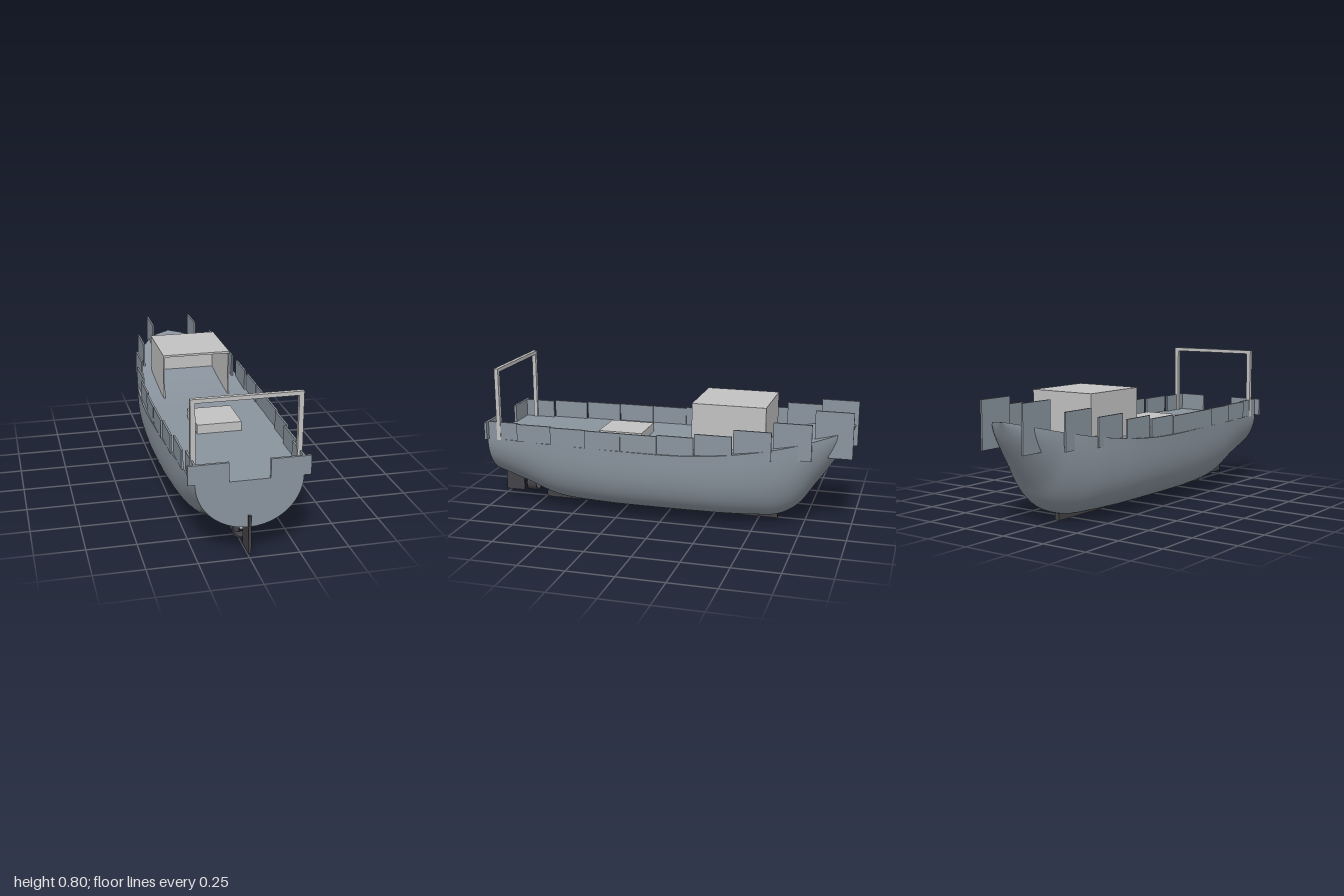
import * as THREE from 'three';

const hullGrey = new THREE.MeshStandardMaterial({ color: 0x8a949e, side: THREE.DoubleSide });
hullGrey.name = 'hull blue grey';
const lightGrey = new THREE.MeshStandardMaterial({ color: 0xc2c2c2 });
lightGrey.name = 'superstructure light grey';
const darkGrey = new THREE.MeshStandardMaterial({ color: 0x434347 });
darkGrey.name = 'running gear dark grey';

// Stations from stern to bow: z, half beam, keel height, section fullness
const STATIONS = [
  [0.985, 0.262, 0.157, 2], [0.8, 0.276, 0.098, 2.2], [0.6, 0.295, 0.04, 2.5],
  [0.3, 0.312, 0.033, 2.9], [0, 0.32, 0.033, 2.9], [-0.3, 0.31, 0.033, 2.9],
  [-0.5, 0.285, 0.034, 2.7], [-0.62, 0.26, 0.044, 2.5], [-0.72, 0.232, 0.105, 2.3],
  [-0.8, 0.2, 0.215, 2.1], [-0.88, 0.16, 0.33, 2], [-0.95, 0.106, 0.44, 2],
  [-1, 0.004, 0.546, 2],
];
const lines = new THREE.CatmullRomCurve3(
  STATIONS.map(([z, b, k]) => new THREE.Vector3(b, k, z)), false, 'catmullrom', 0.5);

const rise = (z) => (z < 0 ? 0.15 * z * z : 0);
const sheer = (z) => 0.4 + rise(z);

function fullness(u) {
  const t = u * (STATIONS.length - 1);
  const i = Math.min(Math.floor(t), STATIONS.length - 2);
  return THREE.MathUtils.lerp(STATIONS[i][3], STATIONS[i + 1][3], t - i);
}

// Point on the shell: u runs stern to bow, v from one sheer round the keel to the other
function hullPoint(u, v) {
  const p = lines.getPoint(u);
  const e = 2 / fullness(u);
  const a = (v - 0.5) * Math.PI;
  const s = Math.sin(a), c = Math.max(Math.cos(a), 0);
  const top = sheer(p.z);
  return [p.x * Math.sign(s) * Math.abs(s) ** e, top - (top - p.y) * c ** e, p.z];
}

// Grid surface from a rule giving a point for each (u, v)
function surface(nu, nv, rule) {
  const positions = [], index = [];
  for (let i = 0; i <= nu; i++) {
    for (let j = 0; j <= nv; j++) positions.push(...rule(i / nu, j / nv));
  }
  for (let i = 0; i < nu; i++) {
    for (let j = 0; j < nv; j++) {
      const a = i * (nv + 1) + j, b = a + nv + 1;
      index.push(a, a + 1, b, b, a + 1, b + 1);
    }
  }
  const g = new THREE.BufferGeometry();
  g.setAttribute('position', new THREE.Float32BufferAttribute(positions, 3));
  g.setIndex(index);
  g.computeVertexNormals();
  return g;
}

export function createModel() {
  const model = new THREE.Group();
  model.name = 'workboat';

  const add = (name, geometry, material, parent = model) => {
    const mesh = new THREE.Mesh(geometry, material);
    mesh.name = name;
    parent.add(mesh);
    return mesh;
  };
  // Box given by its limits on each axis
  const box = (name, material, [x0, x1], [y0, y1], [z0, z1], parent) => {
    const m = add(name, new THREE.BoxGeometry(x1 - x0, y1 - y0, z1 - z0), material, parent);
    m.position.set((x0 + x1) / 2, (y0 + y1) / 2, (z0 + z1) / 2);
    return m;
  };
  const group = (name) => {
    const g = new THREE.Group();
    g.name = name;
    model.add(g);
    return g;
  };

  // Hull shell, deck and flat transom
  add('hullShell', surface(72, 48, hullPoint), hullGrey);
  add('deck', surface(72, 2, (u, v) => {
    const p = lines.getPoint(u);
    return [p.x * (1 - 2 * v), sheer(p.z), p.z];
  }), hullGrey);
  add('transom', surface(1, 48, (u, v) => {
    const [x, y, z] = hullPoint(0, v);
    return [x * (1 - u), y + (0.4 - y) * (1 - (1 - u)), z];
  }), hullGrey);

  // Stepped bulwark plates, bow to stern, with their offset from the centreline
  const bulwarks = group('bulwarks');
  const offsets = [0.13, 0.222, 0.268, 0.294, 0.305, 0.308, 0.306, 0.297, 0.282, 0.263];
  offsets.forEach((x, i) => {
    const z0 = -1 + i * 0.2;
    const z1 = Math.min(z0 + 0.198, 0.985);
    for (const s of [-1, 1]) {
      box('bulwarkPlate', hullGrey, [s * x - 0.005, s * x + 0.005],
        [0.4, 0.497 + rise(z0)], [z0, z1], bulwarks);
    }
  });
  // Stern bulwark either side of the opening
  box('sternBulwarkLeft', hullGrey, [0.1, 0.297], [0.4, 0.497], [0.972, 0.986], bulwarks);
  box('sternBulwarkRight', hullGrey, [-0.297, -0.1], [0.4, 0.497], [0.972, 0.986], bulwarks);

  // Wheelhouse shell, open towards the working deck
  const house = group('wheelhouse');
  box('roof', lightGrey, [-0.188, 0.188], [0.645, 0.656], [-0.555, -0.16], house);
  box('backWall', lightGrey, [-0.18, 0.18], [0.4, 0.645], [-0.555, -0.546], house);
  for (const s of [-1, 1]) {
    box('sideWall', lightGrey, [s * 0.184 - 0.004, s * 0.184 + 0.004],
      [0.4, 0.645], [-0.555, -0.16], house);
  }

  // Deck hatch
  box('hatch', lightGrey, [-0.118, 0.118], [0.395, 0.449], [0.14, 0.385]);

  // Stern gantry
  const gantry = group('gantry');
  for (const s of [-1, 1]) {
    box('gantryPost', lightGrey, [s * 0.258 - 0.012, s * 0.258 + 0.012],
      [0.395, 0.775], [0.902, 0.924], gantry);
  }
  box('gantryBeam', lightGrey, [-0.27, 0.27], [0.775, 0.795], [0.902, 0.924], gantry);

  // Keel bar and rudder
  box('keel', darkGrey, [-0.014, 0.014], [0, 0.037], [-0.6, 0.745]);
  box('rudder', darkGrey, [-0.007, 0.007], [0.022, 0.219], [0.89, 1]);

  // Propeller nozzle: a short open ring under the counter
  const ring = new THREE.Shape().absarc(0, 0, 0.05, 0, Math.PI * 2);
  ring.holes.push(new THREE.Path().absarc(0, 0, 0.042, 0, Math.PI * 2, true));
  const nozzle = add('propellerNozzle', new THREE.ExtrudeGeometry(ring,
    { depth: 0.055, bevelEnabled: false, curveSegments: 20 }), darkGrey);
  nozzle.position.set(0, 0.08, 0.8);

  // Propeller shaft
  const shaft = add('propellerShaft', new THREE.CylinderGeometry(0.01, 0.01, 0.14, 12), lightGrey);
  shaft.rotation.x = Math.PI / 2;
  shaft.position.set(0, 0.08, 0.77);

  return model;
}
